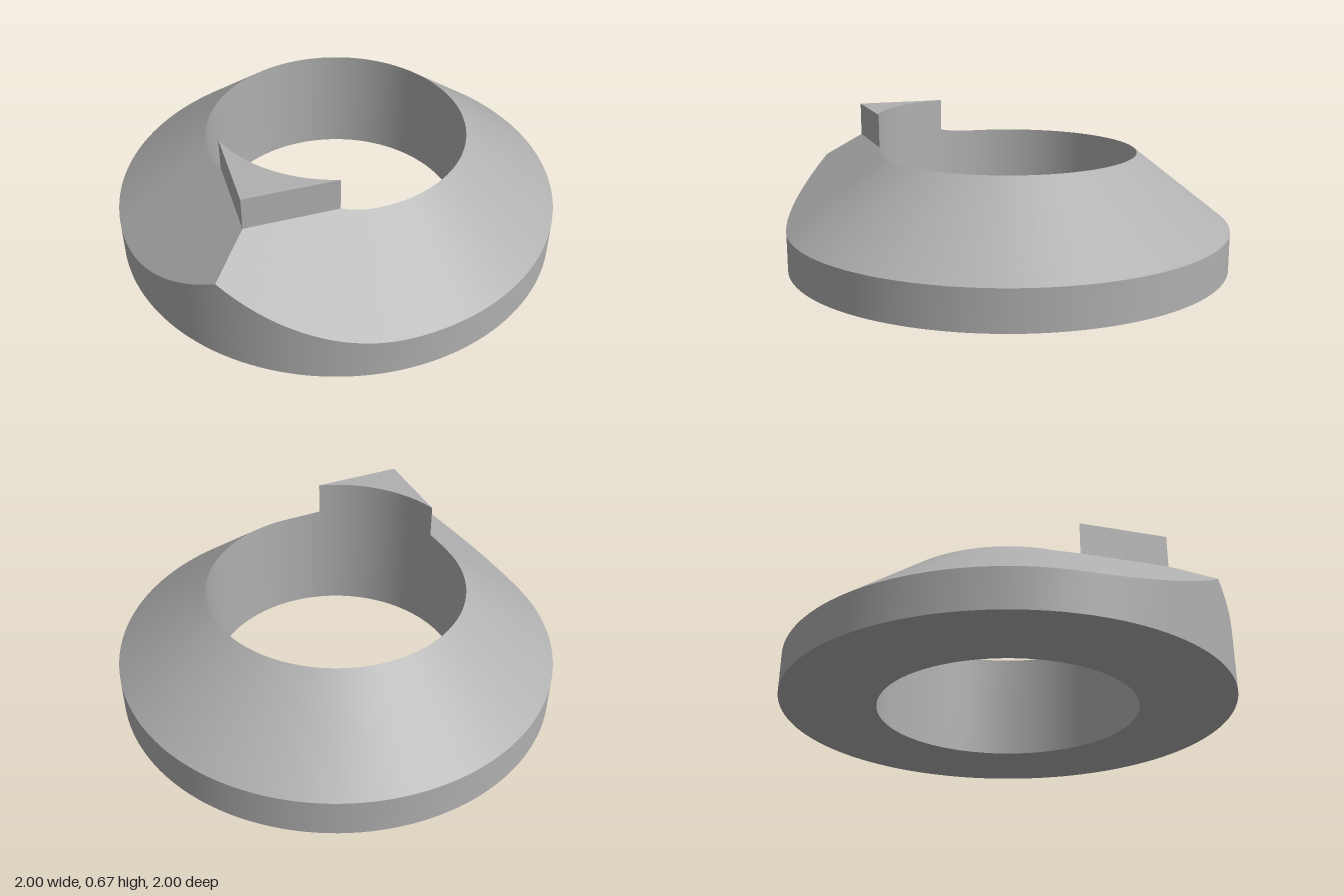
import * as THREE from 'three';
import { toCreasedNormals } from 'three/addons/utils/BufferGeometryUtils.js';

const OUTER = 1, BORE = 0.58, EDGE_Y = 0.175, SLOPE = 0.786;
const WEDGE = 0.79;   // the boss is bounded by |x| + z = WEDGE
const BOSS_TOP = 0.67;
const HALF = 0.5 * Math.asin((WEDGE / BORE) ** 2 - 1); // half angle of the boss

// Cone whose level lines run on as 45 degree tangents to a ridge at the front
const spread = (a) => Math.abs(Math.sin(a)) + Math.cos(a);
const inWedge = (a) => Math.cos(a) > Math.SQRT1_2;
const height = (r, a) =>
  EDGE_Y + SLOPE * (OUTER - (inWedge(a) ? (r * spread(a)) / Math.SQRT2 : r));
const rim = (a) => (inWedge(a) ? Math.max(BORE, WEDGE / spread(a)) : BORE);

// Angles from +z towards +x, sampled exactly at every break
function sample(breaks, step = 0.045) {
  const out = [breaks[0]];
  for (let i = 1; i < breaks.length; i++) {
    const a = breaks[i - 1], b = breaks[i];
    const n = Math.ceil((b - a) / step);
    for (let k = 1; k <= n; k++) out.push(a + ((b - a) * k) / n);
  }
  return out;
}

// Sweeps a [radius, y] profile that varies with the angle
function sweep(angles, profile) {
  const pos = [], index = [];
  const cols = angles.map(profile), n = cols[0].length;
  cols.forEach((col, i) => col.forEach(([r, y]) =>
    pos.push(r * Math.sin(angles[i]), y, r * Math.cos(angles[i]))));
  for (let i = 0; i < cols.length - 1; i++) {
    for (let k = 0; k < n - 1; k++) {
      const a = i * n + k, b = a + n;
      index.push(a, b, b + 1, a, b + 1, a + 1);
    }
  }
  const geo = new THREE.BufferGeometry();
  geo.setAttribute('position', new THREE.Float32BufferAttribute(pos, 3));
  geo.setIndex(index);
  return toCreasedNormals(geo, 0.4);
}

export function createModel() {
  const group = new THREE.Group();
  group.name = 'chamferedCollar';
  const grey = new THREE.MeshStandardMaterial({ color: 0xb0b0b0 });
  grey.name = 'grey';
  const add = (name, geo) => {
    const mesh = new THREE.Mesh(geo, grey);
    mesh.name = name;
    group.add(mesh);
  };
  const Q = Math.PI / 4, T = Math.PI * 2;
  const ring = sample([0, HALF, Q, T - Q, T - HALF, T]);

  // Collar: underside, outer wall and sloped top
  add('collarBody', sweep(ring, (a) => [
    [BORE, 0], [OUTER, 0], [OUTER, height(OUTER, a)], [rim(a), height(rim(a), a)],
  ]));
  // Bore wall
  add('boreWall', sweep(ring, (a) => [[BORE, height(rim(a), a)], [BORE, 0]]));
  // Wedge-shaped boss: side walls, top and the face that continues the bore
  add('wedgeBoss', sweep(sample([-HALF, 0, HALF]), (a) => {
    const r = rim(a), y = height(r, a);
    return [[r, y], [r, BOSS_TOP], [BORE, BOSS_TOP], [BORE, y]];
  }));
  return group;
}
